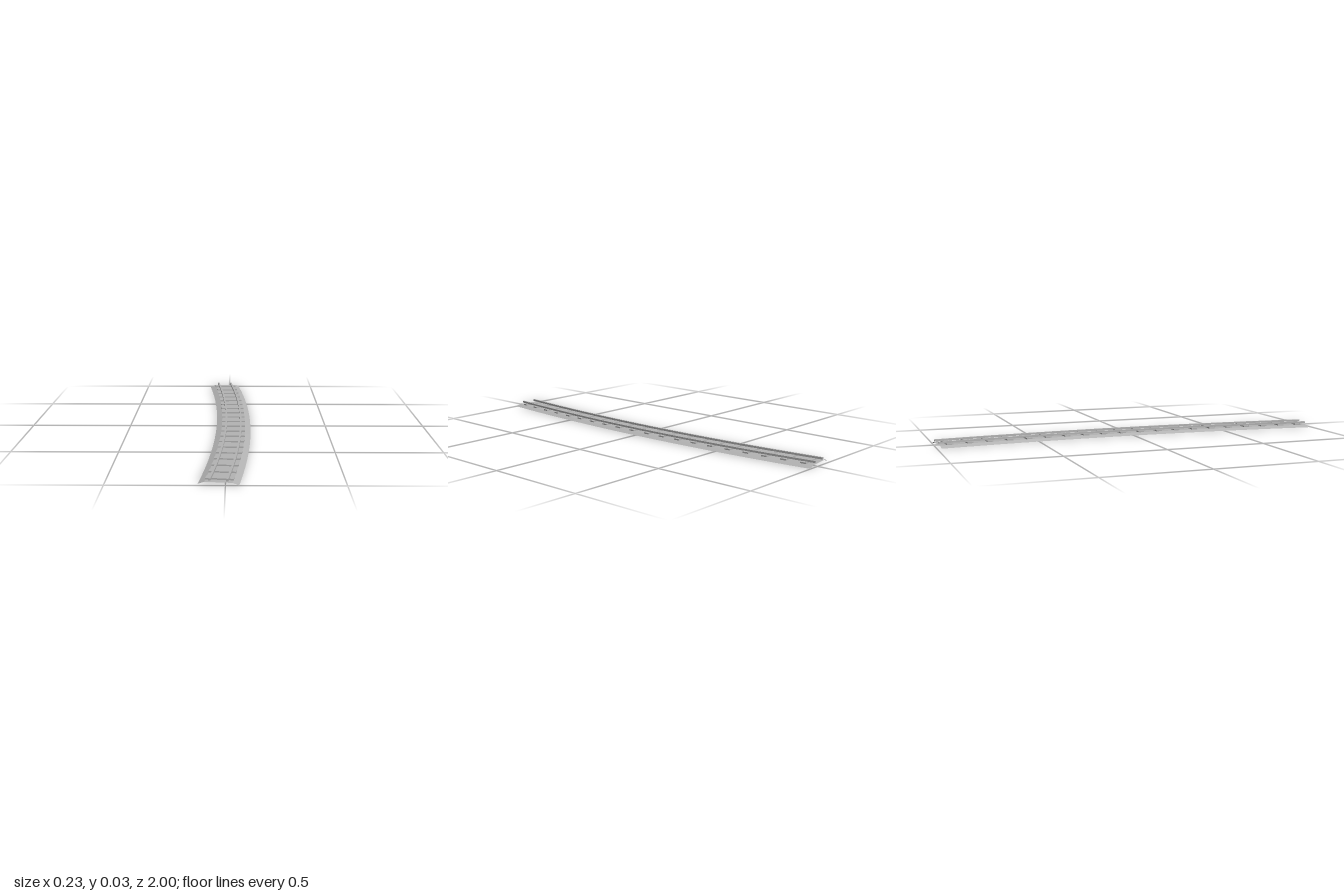
import * as THREE from 'three';

const RADIUS = 8.363;               // radius of the track centre line
const HALF = Math.asin(1 / 8.45);   // half of the arc angle
const CENTRE_X = 0.0295 - RADIUS;   // centre of the curve
const SEGMENTS = 16;
const SLEEPERS = 20;

// Bends a straight geometry (x across, z from -0.5 to 0.5) along the arc.
function bend(geometry) {
  const p = geometry.attributes.position;
  for (let i = 0; i < p.count; i++) {
    const r = RADIUS + p.getX(i);
    const t = p.getZ(i) * 2 * HALF;
    p.setXYZ(i, CENTRE_X + r * Math.cos(t), p.getY(i), r * Math.sin(t));
  }
  geometry.computeVertexNormals();
  return geometry;
}

// One lengthwise strip of the bed between two profile points [across, height].
function strip([x0, y0], [x1, y1]) {
  const g = new THREE.PlaneGeometry(1, 1, 1, SEGMENTS).rotateX(-Math.PI / 2);
  const p = g.attributes.position;
  for (let i = 0; i < p.count; i++) {
    const k = p.getX(i) + 0.5;
    p.setX(i, x0 + (x1 - x0) * k);
    p.setY(i, y0 + (y1 - y0) * k);
  }
  return bend(g);
}

export function createModel() {
  const group = new THREE.Group();
  const grey = new THREE.MeshStandardMaterial({ color: 0xb4b4b4, side: THREE.DoubleSide });
  grey.name = 'grey';

  const add = (name, geometry, parent = group) => {
    const mesh = new THREE.Mesh(geometry, grey);
    mesh.name = name;
    parent.add(mesh);
    return mesh;
  };

  // Gravel bed: an open sheet with two sloping banks
  const profile = [[-0.0865, 0], [-0.059, 0.0105], [0.059, 0.0105], [0.0865, 0]];
  ['innerBank', 'bedTop', 'outerBank'].forEach((name, i) =>
    add(name, strip(profile[i], profile[i + 1])));

  // Sleepers spaced evenly along the arc
  const sleepers = new THREE.Group();
  sleepers.name = 'sleepers';
  group.add(sleepers);
  const sleeperGeometry = new THREE.BoxGeometry(0.119, 0.007, 0.03);
  for (let i = 0; i < SLEEPERS; i++) {
    const t = ((i + 0.5) / SLEEPERS * 2 - 1) * HALF;
    const sleeper = add('sleeper', sleeperGeometry, sleepers);
    sleeper.position.set(CENTRE_X + RADIUS * Math.cos(t), 0.0135, RADIUS * Math.sin(t));
    sleeper.rotation.y = -t;
  }

  // Two curved rails
  for (const [name, x] of [['innerRail', -0.037], ['outerRail', 0.037]]) {
    const rail = new THREE.BoxGeometry(0.009, 0.0095, 1, 1, 1, SEGMENTS);
    add(name, bend(rail.translate(x, 0.0212, 0)));
  }
  return group;
}
